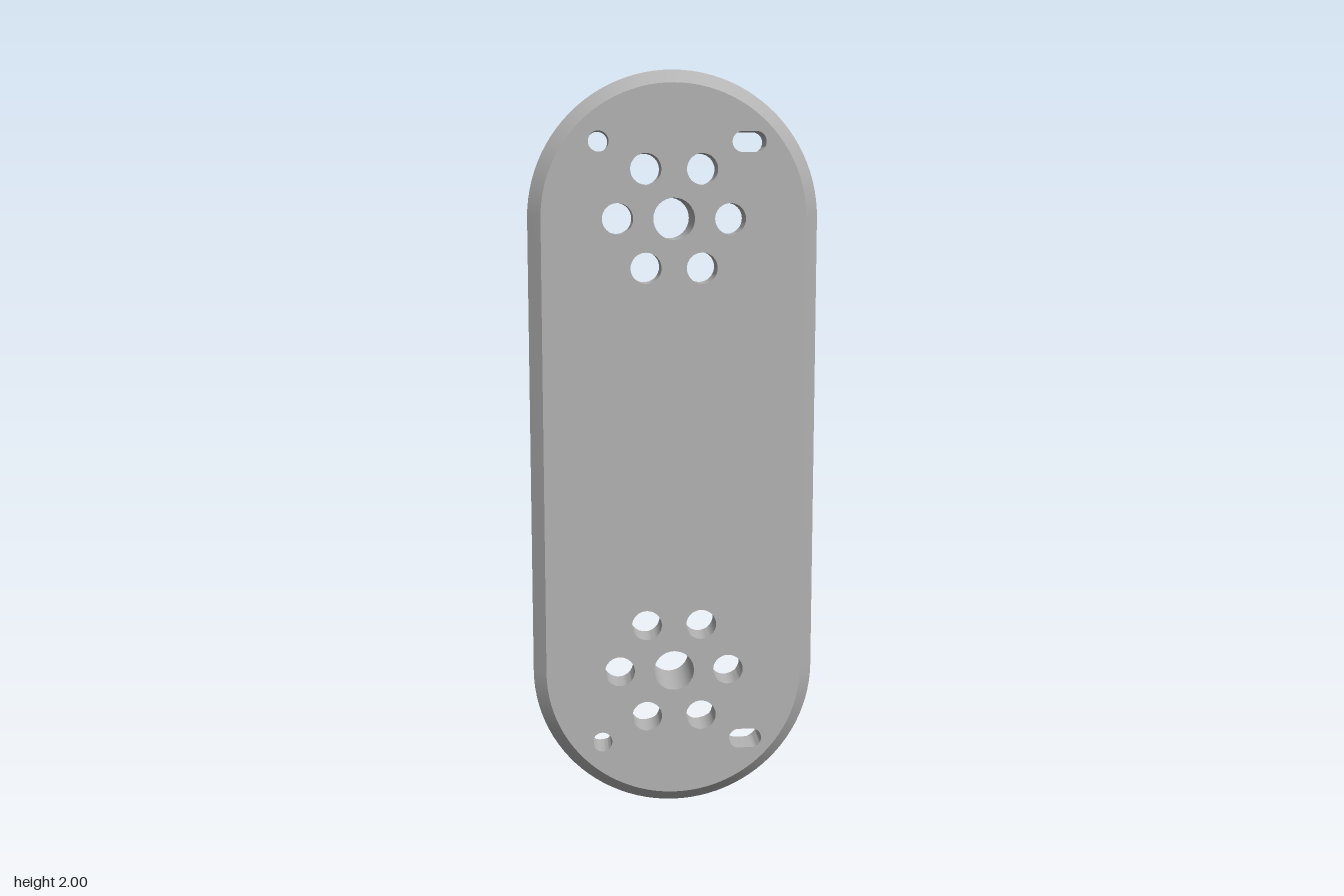
import * as THREE from 'three';
import { mergeGeometries, toCreasedNormals } from 'three/addons/utils/BufferGeometryUtils.js';

const FRONT = 0.088, BACK = -0.088, CHAMFER = 0.035;
const RADIUS = 0.385, HALF = 0.615;
const BORE_FLOOR = 0.0, POCKET_FLOOR = 0.055, SCREW_FLOOR = -0.02;

// Counter-clockwise rounded rectangle; also gives circles and slots
function loop(x, y, hx, hy, r, n = 8) {
  const pts = [];
  const signs = [[1, 1], [-1, 1], [-1, -1], [1, -1]];
  signs.forEach(([sx, sy], q) => {
    for (let i = 0; i <= n; i++) {
      const a = (q + i / n) * Math.PI / 2;
      const p = new THREE.Vector2(x + sx * hx + r * Math.cos(a), y + sy * hy + r * Math.sin(a));
      if (!pts.length || p.distanceTo(pts[pts.length - 1]) > 1e-5) pts.push(p);
    }
  });
  if (pts[0].distanceTo(pts[pts.length - 1]) < 1e-5) pts.pop();
  return pts;
}

// Wall between two loops; faces outward when zA < zB, inward when zA > zB
function band(a, zA, b, zB) {
  const v = [];
  a.forEach((p, i) => {
    const j = (i + 1) % a.length;
    const a0 = [p.x, p.y, zA], a1 = [a[j].x, a[j].y, zA];
    const b0 = [b[i].x, b[i].y, zB], b1 = [b[j].x, b[j].y, zB];
    v.push(...a0, ...a1, ...b1, ...a0, ...b1, ...b0);
  });
  const g = new THREE.BufferGeometry();
  g.setAttribute('position', new THREE.Float32BufferAttribute(v, 3));
  return toCreasedNormals(g, Math.PI / 6);
}

// Flat face with holes, looking to the front or the back
function face(outline, holes, z, toBack) {
  const shape = new THREE.Shape(outline);
  shape.holes = holes.map((h) => new THREE.Path(h));
  const g = new THREE.ShapeGeometry(shape);
  g.deleteAttribute('uv');
  if (toBack) {
    const idx = g.index.array;
    for (let i = 0; i < idx.length; i += 3) [idx[i], idx[i + 1]] = [idx[i + 1], idx[i]];
    g.computeVertexNormals();
  }
  return g.translate(0, 0, z).toNonIndexed();
}

export function createModel() {
  const group = new THREE.Group();
  const metal = new THREE.MeshStandardMaterial({ color: 0xb4b4b4 });
  metal.name = 'grey metal';
  const add = (name, ...geos) => {
    const mesh = new THREE.Mesh(mergeGeometries(geos), metal);
    mesh.name = name;
    group.add(mesh);
  };
  const frontHoles = [], backHoles = [];

  // Straight hole through the whole plate
  function throughHole(name, pts) {
    frontHoles.push(pts);
    backHoles.push(pts);
    add(name, band(pts, FRONT, pts, BACK));
  }

  // Through hole with a wide round bore from the back
  function boredHole(name, pts, bore) {
    frontHoles.push(pts);
    backHoles.push(bore);
    add(name, band(pts, FRONT, pts, BORE_FLOOR), face(bore, [pts], BORE_FLOOR, true),
      band(bore, BORE_FLOOR, bore, BACK));
  }

  // Recess from the back with a closed floor
  function recess(name, pts, floor) {
    backHoles.push(pts);
    add(name, band(pts, floor, pts, BACK), face(pts, [], floor, true));
  }

  // Hole patterns, mirrored at both ends
  for (const s of [1, -1]) {
    const end = s > 0 ? 'upper' : 'lower';
    const cy = 1 + s * HALF;
    throughHole(`${end} centre hole`, loop(0, cy, 0, 0, 0.055));
    for (let i = 0; i < 6; i++) {
      const a = i * Math.PI / 3;
      const x = 0.149 * Math.cos(a), y = cy + 0.149 * Math.sin(a);
      boredHole(`${end} bolt hole`, loop(x, y, 0, 0, 0.041), loop(x, y, 0, 0, 0.07));
    }
    const py = cy + s * 0.2;
    boredHole(`${end} pin hole`, loop(-0.198, py, 0, 0, 0.027), loop(-0.198, py, 0, 0, 0.056));
    boredHole(`${end} slot`, loop(0.198, py, 0.018, 0, 0.027), loop(0.198, py, 0, 0, 0.065));
    for (const x of [-0.29, 0.29]) {
      recess(`${end} screw hole`, loop(x, cy + s * 0.123, 0, 0, 0.019, 5), SCREW_FLOOR);
    }
  }
  for (const x of [-0.308, 0.308]) recess('middle screw hole', loop(x, 1, 0, 0, 0.019, 5), SCREW_FLOOR);

  // Pocket in the middle of the back
  recess('pocket', loop(0, 1, 0.1, 0.31, 0.06), POCKET_FLOOR);

  // Plate rim, chamfers and faces
  const outer = loop(0, 1, 0, HALF, RADIUS, 24);
  const inner = loop(0, 1, 0, HALF, RADIUS - CHAMFER, 24);
  add('rim', band(outer, BACK + CHAMFER, outer, FRONT - CHAMFER));
  add('front chamfer', band(outer, FRONT - CHAMFER, inner, FRONT));
  add('back chamfer', band(inner, BACK, outer, BACK + CHAMFER));
  add('front face', face(inner, frontHoles, FRONT, false));
  add('back face', face(inner, backHoles, BACK, true));
  return group;
}
